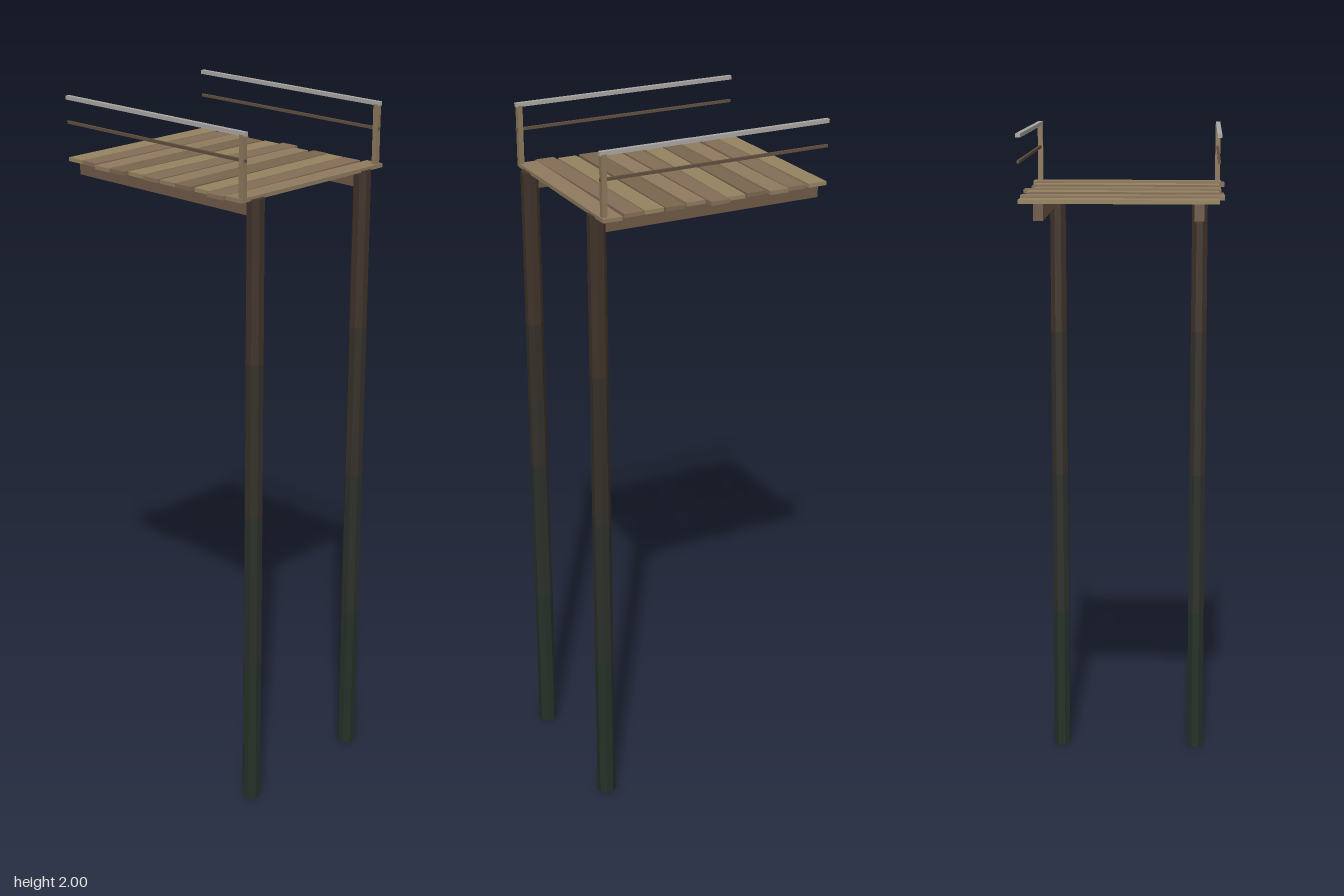
import * as THREE from 'three';

const material = (color) => new THREE.MeshStandardMaterial({ color, flatShading: true });

function addBox(parent, name, size, position, mat) {
  const mesh = new THREE.Mesh(new THREE.BoxGeometry(...size), mat);
  mesh.name = name;
  mesh.position.set(...position);
  parent.add(mesh);
  return mesh;
}

export function createModel() {
  const model = new THREE.Group();
  model.name = 'dockSection';

  const beamWood = material(0x6e5846);
  const postWood = material(0x8b765a);
  const midRailWood = material(0x5f4e3e);
  const railMetal = material(0xa8a6a2);
  const plankWood = [0x95835f, 0x846d57, 0x8e7a5f, 0x79664e].map(material);
  // Pile colours, from wet at the foot to dry at the top
  const pileWood = [0x252f27, 0x2b2f28, 0x342f28, 0x3f3229].map(material);

  // Deck planks: left x, right x, z at the left end, z at the right end
  const planks = [
    [-0.27, 0.27, -0.319, -0.32],
    [-0.27, 0.27, -0.263, -0.253],
    [-0.285, 0.277, -0.195, -0.195],
    [-0.283, 0.265, -0.136, -0.13],
    [-0.27, 0.27, -0.076, -0.066],
    [-0.277, 0.286, -0.009, -0.009],
    [-0.275, 0.262, 0.055, 0.052],
    [-0.277, 0.274, 0.113, 0.12],
    [-0.272, 0.27, 0.181, 0.179],
    [-0.288, 0.271, 0.244, 0.239],
    [-0.278, 0.286, 0.301, 0.308],
  ];
  const deck = new THREE.Group();
  deck.name = 'deck';
  model.add(deck);
  planks.forEach(([x0, x1, z0, z1], i) => {
    const plank = addBox(deck, 'plank', [x1 - x0, 0.011, 0.056],
      [(x0 + x1) / 2, 1.82, (z0 + z1) / 2], plankWood[i % 4]);
    plank.rotation.y = -Math.atan2(z1 - z0, x1 - x0);
  });

  for (const side of [-1, 1]) {
    const name = side > 0 ? 'left' : 'right';

    // Eight-sided pile, stacked in sections
    const pile = new THREE.Group();
    pile.name = name + 'Pile';
    pile.position.set(side * 0.216, 0, 0.322);
    model.add(pile);
    const height = 1.818, step = height / pileWood.length;
    const radius = (y) => 0.0275 - 0.002 * y / height;
    pileWood.forEach((mat, i) => {
      const geometry = new THREE.CylinderGeometry(radius((i + 1) * step), radius(i * step), step, 8);
      geometry.rotateY(Math.PI / 8);
      const section = new THREE.Mesh(geometry, mat);
      section.name = 'pileSection';
      section.position.y = (i + 0.5) * step;
      pile.add(section);
    });

    // Beam below the deck
    addBox(model, name + 'Beam', [0.027, 0.045, 0.68], [side * 0.216, 1.792, -0.007], beamWood);

    // Railing
    const railing = new THREE.Group();
    railing.name = name + 'Railing';
    railing.position.x = side * 0.268;
    model.add(railing);
    addBox(railing, 'railPost', [0.015, 0.172, 0.015], [0, 1.906, 0.325], postWood);
    addBox(railing, 'topRail', [0.013, 0.011, 0.684], [0, 1.9945, -0.006], railMetal);
    addBox(railing, 'middleRail', [0.007, 0.008, 0.684], [0, 1.925, -0.006], midRailWood);
  }
  return model;
}
